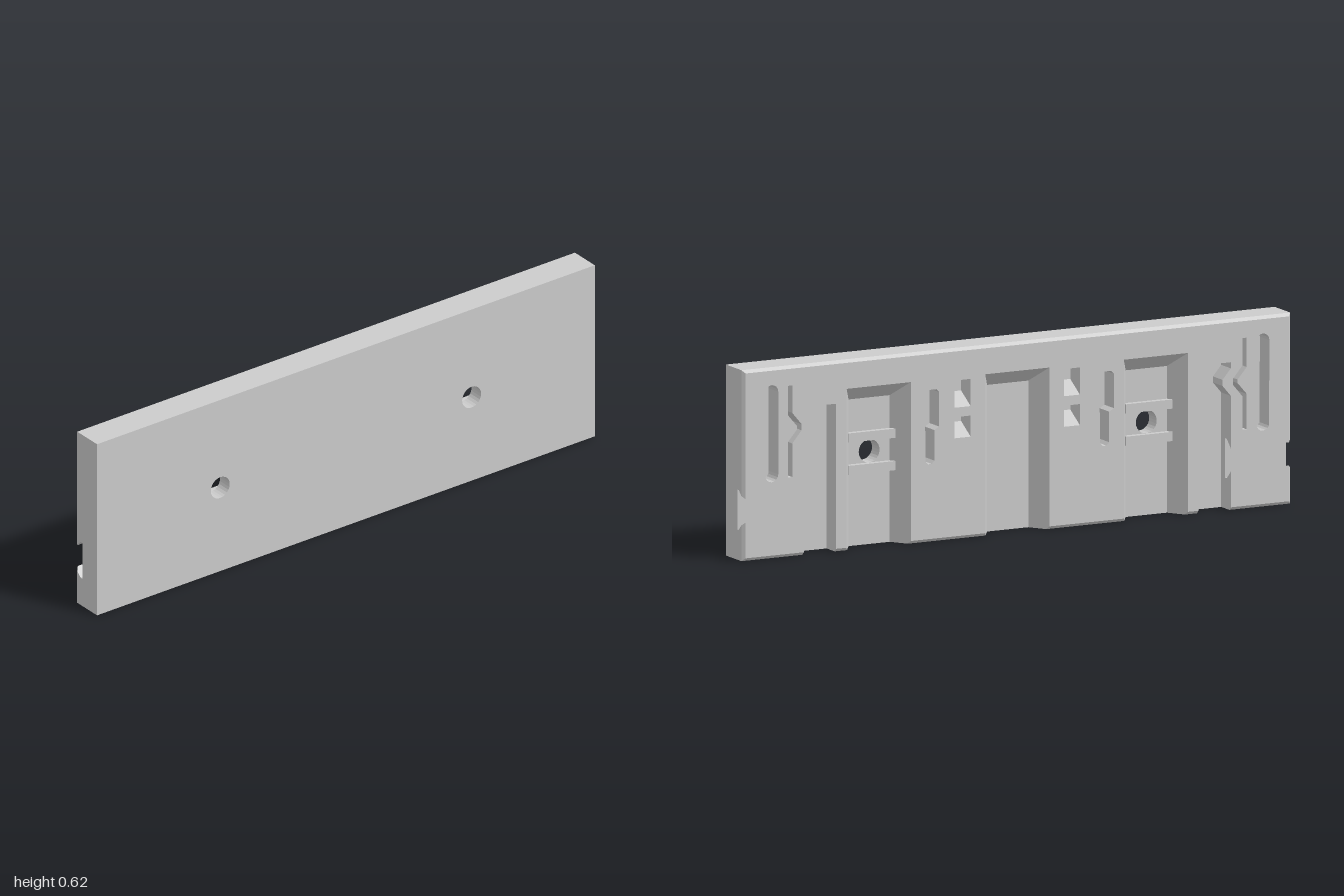
import * as THREE from 'three';

const BACK = -0.058, FRONT = 0.058, DEPTH = 0.065, FLOOR = BACK + DEPTH, H = 0.625;
const CHANNELS = [-0.505, 0, 0.505], HALF = 0.117, CH_TOP = 0.53;
const RINGS = [0, 0.01, 0.028, DEPTH]; // depths at which the back walls bend
const near = (a, b) => Math.abs(a - b) < 1e-4;
const pts = (list, s = 1) => list.map(([x, y]) => new THREE.Vector2(x * s, y));
const rect = (x0, x1, y0, y1) => [[x0, y0], [x1, y0], [x1, y1], [x0, y1]];

// Upright slot with rounded ends
function slot(x, y0, y1, r) {
  const out = [];
  for (let i = 0; i <= 16; i++) {
    const a = Math.PI * (i > 8 ? i - 1 : i) / 8;
    out.push([x + r * Math.cos(a), (i <= 8 ? y1 - r : y0 + r) + r * Math.sin(a)]);
  }
  return out;
}

// Bends the walls: outer chamfer, sloped channels, undercut end notch, window ramps
function bendWalls(geo) {
  const p = geo.attributes.position;
  for (let i = 0; i < p.count; i++) {
    const x0 = p.getX(i), y0 = p.getY(i);
    const d = RINGS[Math.round(p.getZ(i) / DEPTH * 3)];
    const t = d / DEPTH, cut = Math.min(d / 0.028, 1);
    let x = x0, y = y0;
    for (const c of CHANNELS) {
      if (near(Math.abs(x0 - c), HALF)) x = c + Math.sign(x0 - c) * (HALF - 0.042 * t);
    }
    if (near(y0, CH_TOP)) y -= 0.05 * t;
    if (near(y0, 0.203)) y += 0.027 * cut;
    if (near(y0, 0.127)) y -= 0.027 * cut;
    if (near(y0, 0.331) || near(y0, 0.431)) y += 0.04 * t;
    if (d === 0) {
      if (near(Math.abs(x0), 1)) x = Math.sign(x0) * 0.99;
      if (near(y0, H)) y = H - 0.01;
      if (near(y0, 0)) y = 0.01;
    }
    p.setXYZ(i, x, y, BACK + d);
  }
  geo.computeVertexNormals();
  return geo;
}

export function createModel() {
  const group = new THREE.Group();
  const mat = new THREE.MeshStandardMaterial({ color: 0xcccccc, flatShading: true });
  const add = (geo, name) => {
    const m = new THREE.Mesh(geo, mat);
    m.name = name;
    group.add(m);
    return m;
  };

  // Front plate with two screw holes
  const face = new THREE.Shape(pts(rect(-1, 1, 0, H)));
  for (const s of [-1, 1]) {
    face.holes.push(new THREE.Path().absarc(s * 0.505, 0.305, 0.038, 0, Math.PI * 2));
  }
  const plate = new THREE.ExtrudeGeometry(face, { depth: FRONT - FLOOR, bevelEnabled: false, curveSegments: 12 });
  plate.translate(0, 0, FLOOR);
  add(plate, 'frontPlate');

  // Half outline of the back layer: channels, ribs, spring nub and end notch
  const half = [
    [HALF, CH_TOP], [HALF, 0], [0.388, 0], [0.388, CH_TOP], [0.622, CH_TOP], [0.622, 0],
    [0.66, 0], [0.66, 0.485], [0.778, 0.485], [0.778, 0.465], [0.748, 0.43], [0.748, 0.41],
    [0.778, 0.375], [0.778, 0.203], [1, 0.203], [1, H],
  ];
  const back = new THREE.Shape([...pts(half), ...pts(half, -1).reverse()]);

  // Openings in each half of the back layer
  const openings = [
    slot(0.895, 0.25, 0.568, 0.024),
    [[0.82, 0.56], [0.82, 0.47], [0.786, 0.43], [0.786, 0.41], [0.82, 0.37], [0.82, 0.26],
      [0.836, 0.26], [0.836, 0.376], [0.803, 0.414], [0.803, 0.426], [0.836, 0.464], [0.836, 0.56]],
    [[0.302, 0.265], [0.312, 0.255], [0.325, 0.255], [0.335, 0.265], [0.335, 0.365], [0.352, 0.375],
      [0.352, 0.488], [0.342, 0.498], [0.295, 0.498], [0.285, 0.488], [0.285, 0.375], [0.302, 0.365]],
    rect(0.17, 0.228, 0.431, 0.52),
    rect(0.17, 0.228, 0.331, 0.4),
  ];
  const shapes = [back];
  for (const s of [-1, 1]) {
    for (const o of openings) back.holes.push(new THREE.Path(pts(o, s)));
    shapes.push(new THREE.Shape(pts(rect(0.778, 1, 0, 0.127), s)));
  }
  add(bendWalls(new THREE.ExtrudeGeometry(shapes, { depth: DEPTH, steps: 3, bevelEnabled: false })), 'backRelief');

  for (const s of [-1, 1]) {
    // Raised floor of the end notch
    add(new THREE.BoxGeometry(0.222, 0.13, 0.027), 'notchFloor').position.set(s * 0.889, 0.165, FLOOR - 0.0135);
    // Cross bars above and below each screw hole
    for (const y of [0.252, 0.358]) {
      add(new THREE.BoxGeometry(0.17, 0.03, 0.02), 'screwHoleBar').position.set(s * 0.505, y, FLOOR - 0.01);
    }
  }
  return group;
}
